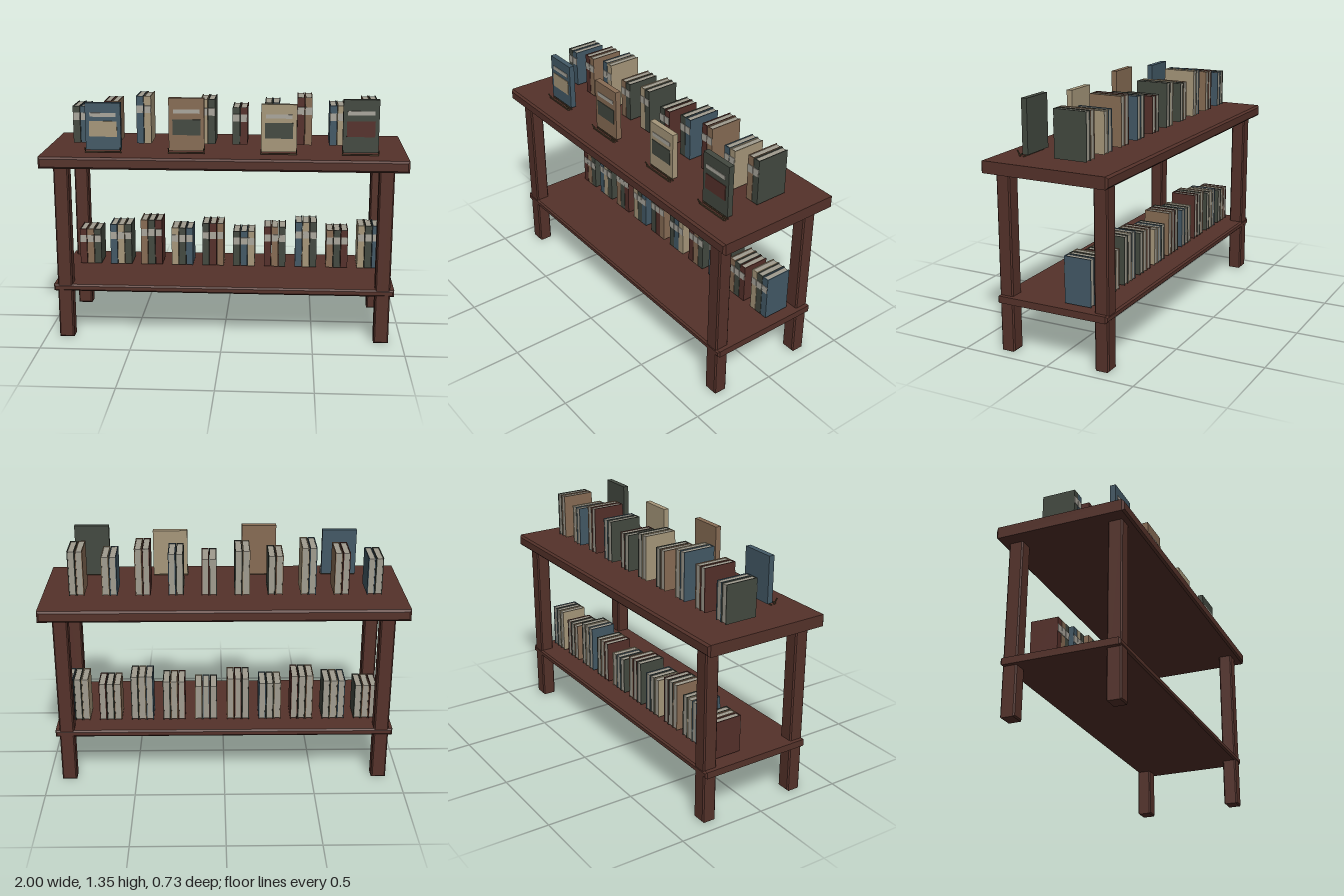
import * as THREE from 'three';

const mat = (name, color) => {
  const m = new THREE.MeshStandardMaterial({ color });
  m.name = name;
  return m;
};

export function createModel() {
  const wood = mat('dark wood', 0x55322a);
  const red = mat('oxblood cover', 0x55302a);
  const green = mat('dark green cover', 0x434940);
  const blue = mat('slate blue cover', 0x435966);
  const brown = mat('brown cover', 0x876c54);
  const tan = mat('tan cover', 0xa6977a);
  const paper = mat('paper', 0xa09c8f);
  const label = mat('pale label', 0xaaa69c);
  const brass = mat('dark brass', 0x4e3f2c);
  const covers = [green, red, blue, brown, tan, green];

  const root = new THREE.Group();
  root.name = 'bookTable';

  const add = (parent, name, geo, material, x, y, z) => {
    const m = new THREE.Mesh(geo, material);
    m.name = name;
    m.position.set(x, y, z);
    parent.add(m);
    return m;
  };
  const box = (parent, name, material, w, h, d, x, y, z) =>
    add(parent, name, new THREE.BoxGeometry(w, h, d), material, x, y, z);

  // Box with chamfered edges, centred on the origin
  const chamferBox = (w, h, d, b) => {
    const x = w / 2 - b, y = h / 2 - b;
    const s = new THREE.Shape([[-x, -y], [x, -y], [x, y], [-x, y]].map(p => new THREE.Vector2(...p)));
    const g = new THREE.ExtrudeGeometry(s, {
      depth: d - 2 * b, bevelEnabled: true, bevelThickness: b, bevelSize: b, bevelSegments: 1,
    });
    return g.translate(0, 0, b - d / 2);
  };

  // Table top, lower shelf and four legs
  add(root, 'tableTop', chamferBox(2, 0.065, 0.726, 0.011), wood, 0, 1.0145, 0);
  add(root, 'lowerShelf', chamferBox(1.895, 0.038, 0.652, 0.009), wood, 0, 0.293, 0);
  for (const sx of [-1, 1]) for (const sz of [-1, 1])
    add(root, 'leg', chamferBox(0.082, 0.99, 0.08, 0.007), wood, sx * 0.884, 0.495, sz * 0.283);

  // Upright book: two boards, spine at the front, page block and spine label
  const book = (x, y, zFront, h, depth, cover) => {
    const g = new THREE.Group();
    g.name = 'book';
    g.position.set(x, y, zFront);
    const w = 0.04, t = 0.005;
    for (const s of [-1, 1])
      box(g, 'coverBoard', cover, t, h, depth, s * (w - t) / 2, h / 2, -depth / 2);
    box(g, 'spine', cover, w - 2 * t, h, t, 0, h / 2, -t / 2);
    box(g, 'pages', paper, w - 2 * t, h - 0.008, depth - t - 0.003, 0, h / 2, -(depth + t - 0.003) / 2);
    box(g, 'spineLabel', label, w - 0.002, 0.042, 0.004, 0, h * 0.72, 0.001);
    root.add(g);
  };

  // Pairs on the top and triples on the shelf, with cycling heights and colours
  const pitch = 0.181, step = 0.0427;
  for (let i = 0; i < 10; i++) {
    const h = 0.21 + 0.015 * ((i * 2) % 5);
    const x = -0.846 + i * pitch;
    for (let j = 0; j < 2; j++)
      book(x + j * step, 1.061, 0.022, h, 0.187, covers[(i + 2 * j) % 6]);
    for (let j = 0; j < 3; j++)
      book(x + j * step, 0.319, -0.051, h, 0.153, covers[(i + 1 + 2 * j) % 6]);
  }

  // Face-out display books, each behind a small tilted rest
  const displays = [
    [-0.663, 0.261, blue, tan],
    [-0.204, 0.291, brown, green],
    [0.301, 0.261, tan, green],
    [0.744, 0.291, green, red],
  ];
  for (const [x, h, cover, panel] of displays) {
    const g = new THREE.Group();
    g.name = 'displayBook';
    g.position.set(x, 1.06, 0.196);
    box(g, 'displayCover', cover, 0.195, h, 0.032, 0, h / 2, 0);
    box(g, 'titleBand', label, 0.145, 0.022, 0.004, 0, h * 0.75, 0.017);
    box(g, 'coverPanel', panel, 0.153, 0.086, 0.004, 0, h * 0.45, 0.017);
    box(g, 'restRail', brass, 0.195, 0.007, 0.007, 0, -0.006, 0.036);
    box(g, 'restBackRail', brass, 0.195, 0.006, 0.006, 0, -0.011, 0.012);
    for (const s of [-1, 1])
      box(g, 'restArm', brass, 0.006, 0.038, 0.006, s * 0.097, 0.004, 0.038).rotation.x = 0.53;
    root.add(g);
  }

  return root;
}
